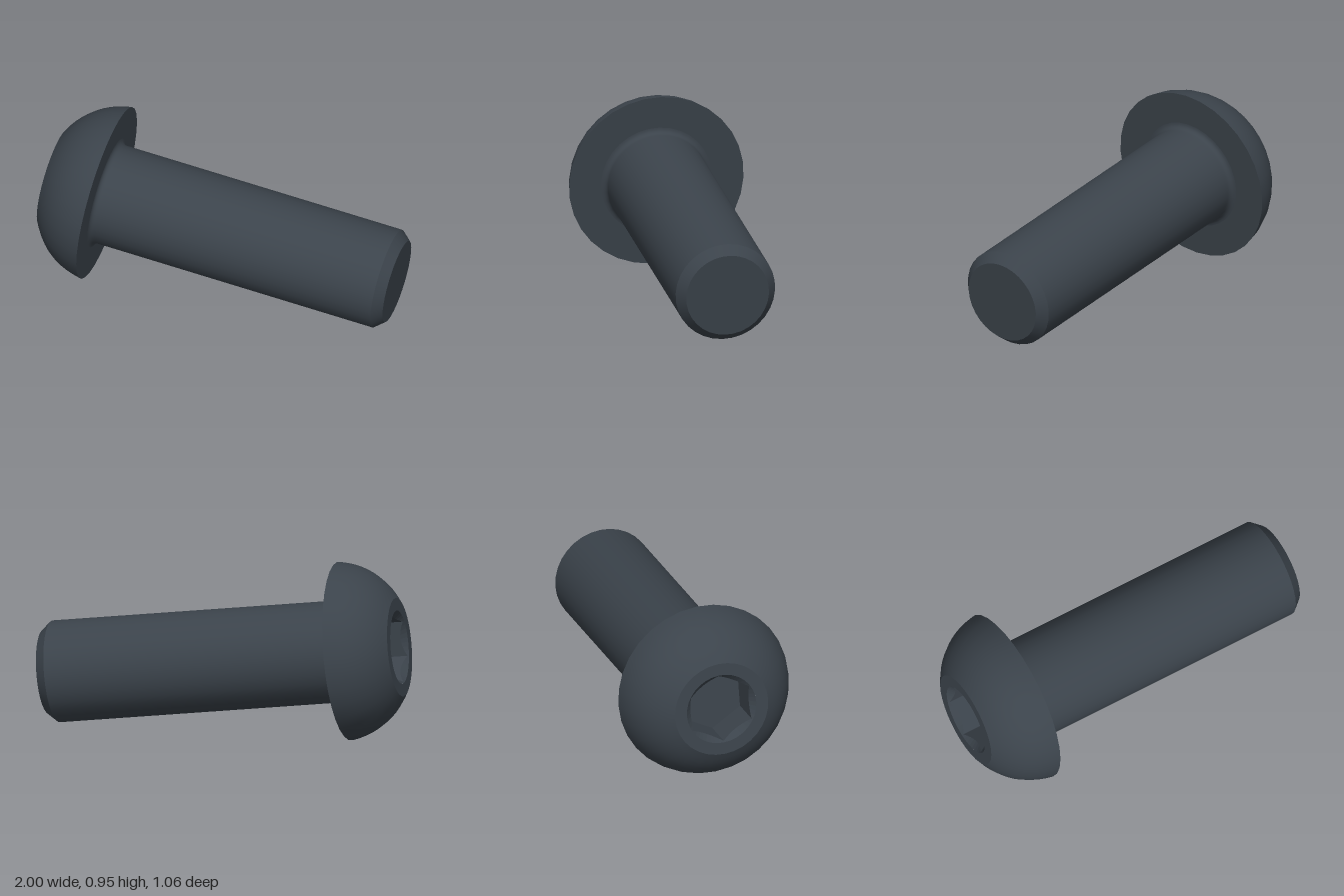
import * as THREE from 'three';

const STEEL = new THREE.MeshStandardMaterial({ color: 0x3b434b });
STEEL.name = 'black steel';

const HEAD_R = 0.477, HEAD_H = 0.3, FACE_R = 0.263;
const SHAFT_R = 0.272, TIP_R = 0.226, LENGTH = 1.64, CHAMFER = 0.053;
const BORE_R = 0.196, HEX_APOTHEM = 0.164, SOCKET_DEPTH = 0.19;

// One smooth band of the turned profile; separate bands keep their shared edge sharp
function band(name, points, segments = 32) {
  const geometry = new THREE.LatheGeometry(points.map(([r, y]) => new THREE.Vector2(r, y)), segments);
  const mesh = new THREE.Mesh(geometry, STEEL);
  mesh.name = name;
  return mesh;
}

// Hexagonal recess: round mouth, conical lead-in, six flat walls and a floor
function makeSocket() {
  const n = 48, positions = [];
  const hexRadius = (a) => {
    const step = Math.PI / 3;
    const local = a - Math.round(a / step) * step;
    return HEX_APOTHEM / Math.cos(local);
  };
  const loops = [
    () => [BORE_R, HEAD_H],
    (a) => [hexRadius(a), HEAD_H - (BORE_R - hexRadius(a))],
    (a) => [hexRadius(a), HEAD_H - SOCKET_DEPTH],
    () => [0, HEAD_H - SOCKET_DEPTH],
  ];
  const point = (loop, i) => {
    const a = (i / n) * Math.PI * 2;
    const [r, y] = loop(a);
    return [r * Math.sin(a), y, r * Math.cos(a)];
  };
  for (let k = 0; k < loops.length - 1; k++) {
    for (let i = 0; i < n; i++) {
      const a = point(loops[k], i), b = point(loops[k], i + 1);
      const c = point(loops[k + 1], i + 1), d = point(loops[k + 1], i);
      positions.push(...a, ...b, ...d);
      if (k < loops.length - 2) positions.push(...b, ...c, ...d);
    }
  }
  const geometry = new THREE.BufferGeometry();
  geometry.setAttribute('position', new THREE.Float32BufferAttribute(positions, 3));
  geometry.computeVertexNormals();
  const mesh = new THREE.Mesh(geometry, STEEL);
  mesh.name = 'hexSocket';
  return mesh;
}

export function createModel() {
  const bolt = new THREE.Group();
  bolt.name = 'buttonHeadBolt';

  // Shaft with chamfered tip and a small fillet under the head
  const shoulder = -LENGTH + CHAMFER, fillet = 0.03;
  const shaftProfile = [[SHAFT_R, shoulder], [SHAFT_R, -fillet * 1.5], [SHAFT_R, -fillet]];
  for (let i = 1; i <= 5; i++) {
    const a = (i / 5) * Math.PI / 2;
    shaftProfile.push([SHAFT_R + fillet * (1 - Math.cos(a)), -fillet * (1 - Math.sin(a))]);
  }
  bolt.add(
    band('tipFace', [[0, -LENGTH], [TIP_R, -LENGTH]]),
    band('tipChamfer', [[TIP_R, -LENGTH], [SHAFT_R, shoulder]]),
    band('shaft', shaftProfile),
    band('headUnderside', [[SHAFT_R + fillet, 0], [HEAD_R, 0]]),
  );

  // Domed head: a chord from rim to face, bulged outward
  const dome = [], bulge = 0.045;
  const dr = FACE_R - HEAD_R, chord = Math.hypot(dr, HEAD_H);
  for (let i = 0; i <= 10; i++) {
    const t = i / 10, s = 4 * t * (1 - t) * bulge;
    dome.push([HEAD_R + dr * t + (s * HEAD_H) / chord, HEAD_H * t - (s * dr) / chord]);
  }
  bolt.add(
    band('headDome', dome),
    band('headFace', [[FACE_R, HEAD_H], [BORE_R, HEAD_H]]),
    makeSocket(),
  );

  // Tilt the whole bolt: local +y points out of the head
  const yAxis = new THREE.Vector3(-0.9697, 0.1287, -0.2073).normalize();
  const zAxis = new THREE.Vector3(0, 0, 1).addScaledVector(yAxis, -yAxis.z).normalize();
  const xAxis = new THREE.Vector3().crossVectors(yAxis, zAxis);
  bolt.quaternion.setFromRotationMatrix(new THREE.Matrix4().makeBasis(xAxis, yAxis, zAxis));
  bolt.position.set(-0.645, 0.478, -0.063);

  const model = new THREE.Group();
  model.name = 'bolt';
  model.add(bolt);
  return model;
}
